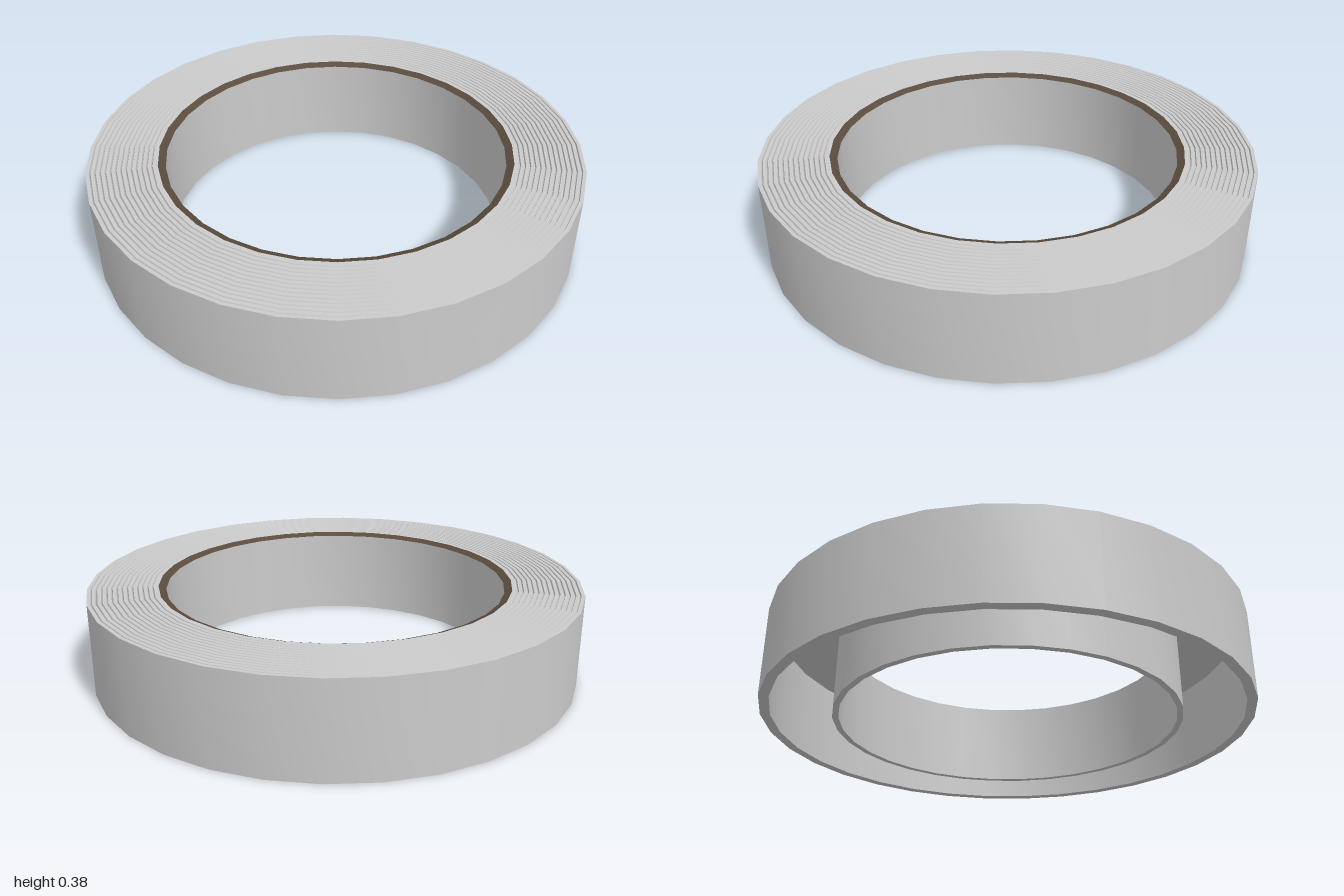
import * as THREE from 'three';
import { toCreasedNormals } from 'three/addons/utils/BufferGeometryUtils.js';

const SIDES = 32;
const HEIGHT = 0.375;
const OUTER = 1, OUTER_INSIDE = 0.96;
const CORE = 0.69, CORE_OUTSIDE = 0.72;

// Revolve a profile of [radius, height] pairs, keeping its corners sharp
function ring(name, profile, color = 0xcccccc) {
  const points = profile.map(([r, y]) => new THREE.Vector2(r, y));
  const geometry = toCreasedNormals(new THREE.LatheGeometry(points, SIDES), 0.35);
  const mesh = new THREE.Mesh(geometry, new THREE.MeshStandardMaterial({ color }));
  mesh.name = name;
  return mesh;
}

export function createModel() {
  const roll = new THREE.Group();
  roll.name = 'tapeRoll';

  // Outer wall, open underneath
  roll.add(ring('outerWall', [
    [OUTER_INSIDE, HEIGHT - 0.015], [OUTER_INSIDE, 0], [OUTER, 0], [OUTER, HEIGHT],
  ]));

  // Wound layers: flat bands separated by narrow grooves
  const layers = 14;
  const step = (OUTER - CORE_OUTSIDE) / layers;
  const bands = [];
  for (let i = 0; i < layers; i++) {
    const r = OUTER - i * step;
    bands.push([r, HEIGHT], [r - step * 0.7, HEIGHT]);
    if (i < layers - 1) bands.push([r - step * 0.85, HEIGHT - 0.008]);
  }
  bands.push([CORE_OUTSIDE, HEIGHT]);
  roll.add(ring('tapeLayers', bands));

  // Underside of the wound layers
  roll.add(ring('layerUnderside', [
    [CORE_OUTSIDE - 0.005, HEIGHT - 0.015], [OUTER_INSIDE, HEIGHT - 0.015],
  ]));

  // Cardboard rim sloping in towards the hole
  roll.add(ring('coreRim', [[CORE_OUTSIDE, HEIGHT], [CORE, HEIGHT - 0.012]], 0x5a4c3e));

  // Core tube
  roll.add(ring('coreTube', [
    [CORE, HEIGHT - 0.012], [CORE, 0], [CORE_OUTSIDE - 0.005, 0], [CORE_OUTSIDE - 0.005, HEIGHT - 0.015],
  ]));

  return roll;
}
